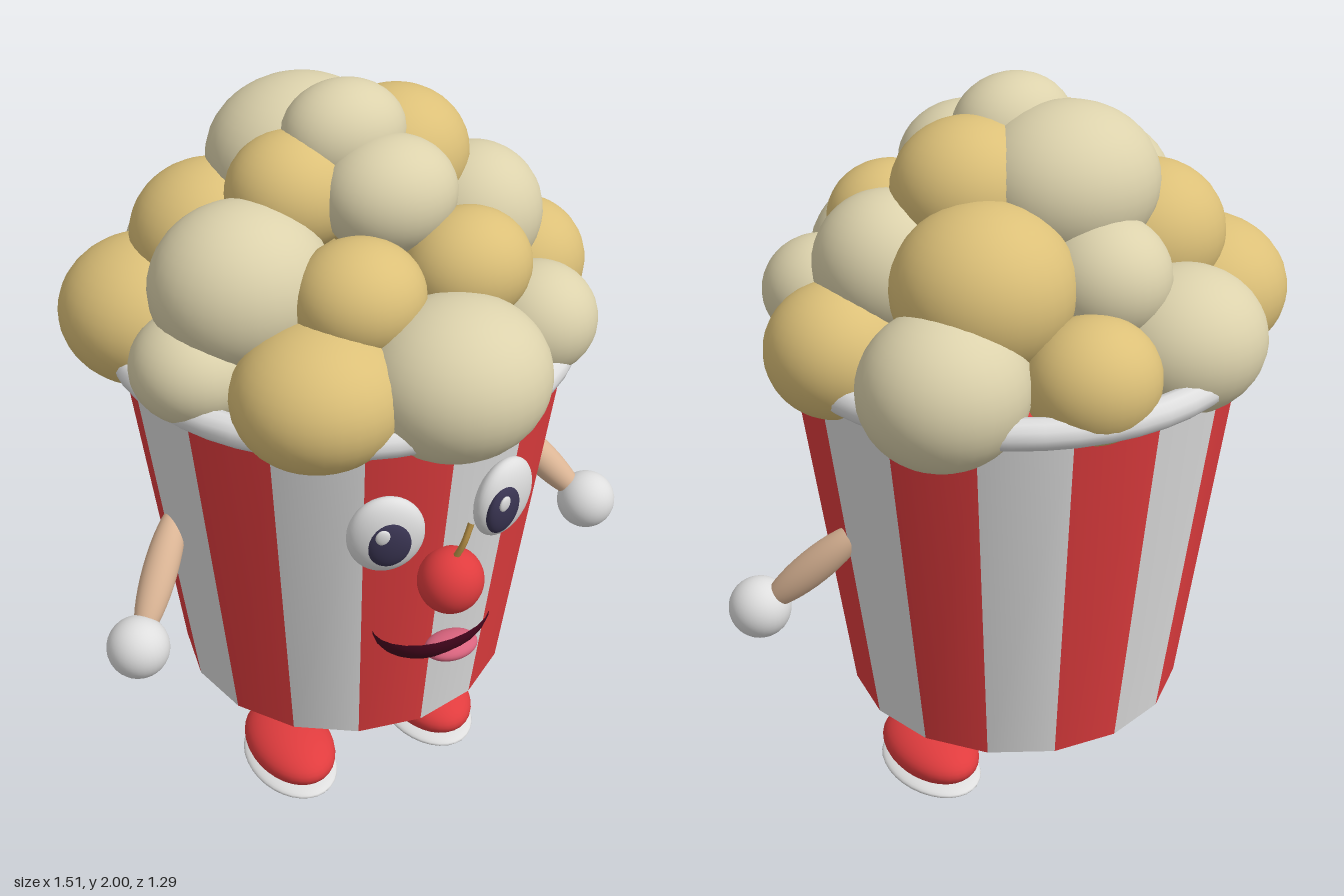
import * as THREE from 'three';

const mat = (name, color) => {
  const m = new THREE.MeshStandardMaterial({ color });
  m.name = name;
  return m;
};

export function createModel() {
  const model = new THREE.Group();
  const red = mat('red', 0xe03c3e);
  const white = mat('white', 0xdedede);
  const cream = mat('cream', 0xdcd2ac);
  const gold = mat('gold', 0xdcc078);
  const indigo = mat('indigo', 0x3a3553);
  const peach = mat('peach', 0xdcb696);
  const maroon = mat('maroon', 0x48061f);
  const pink = mat('pink', 0xd9647e);
  const stemBrown = mat('stemBrown', 0xb58f45);

  const ball = new THREE.SphereGeometry(1, 32, 20);
  const add = (name, geo, material, pos, scale = [1, 1, 1], parent = model) => {
    const m = new THREE.Mesh(geo, material);
    m.name = name;
    m.position.set(...pos);
    m.scale.set(...scale);
    parent.add(m);
    return m;
  };
  // ellipsoid limb stretched between two points
  const limb = (name, material, a, b, r) => {
    const p = new THREE.Vector3(...a), q = new THREE.Vector3(...b);
    const d = q.clone().sub(p);
    const mid = p.add(q).multiplyScalar(0.5);
    const m = add(name, ball, material, mid.toArray(), [r, d.length() / 2, r]);
    m.quaternion.setFromUnitVectors(new THREE.Vector3(0, 1, 0), d.normalize());
  };

  // striped sixteen-sided bucket: one stripe per side
  const sides = 16, cz = -0.04;
  const bucketGeo = new THREE.CylinderGeometry(0.567, 0.44, 0.98, sides, 1);
  bucketGeo.clearGroups();
  for (let i = 0; i < sides; i++) bucketGeo.addGroup(i * 6, 6, i % 2);
  bucketGeo.addGroup(sides * 6, sides * 6, 1);
  add('bucket', bucketGeo, [white, red], [0, 0.85, cz]);

  // rolled rim
  const rimGeo = new THREE.TorusGeometry(0.56, 0.038, 12, 48);
  rimGeo.rotateX(Math.PI / 2);
  add('rim', rimGeo, white, [0, 1.352, cz - 0.005]);

  // popcorn kernels: colour, centre, radii
  const kernels = [
    // bottom ring
    [cream, 0.05, 1.43, 0.43, 0.23, 0.195, 0.215],
    [cream, 0.36, 1.435, 0.29, 0.15, 0.14, 0.15],
    [gold, 0.5, 1.42, -0.01, 0.172, 0.165, 0.17],
    [cream, 0.41, 1.42, -0.33, 0.205, 0.19, 0.195],
    [gold, 0.11, 1.42, -0.49, 0.165, 0.15, 0.155],
    [cream, -0.2, 1.42, -0.44, 0.21, 0.18, 0.2],
    [gold, -0.45, 1.42, -0.22, 0.22, 0.185, 0.22],
    [cream, -0.47, 1.43, 0.1, 0.15, 0.135, 0.15],
    [gold, -0.26, 1.42, 0.34, 0.21, 0.172, 0.2],
    // middle ring
    [cream, -0.33, 1.6, 0.08, 0.22, 0.2, 0.2],
    [gold, -0.12, 1.605, 0.27, 0.16, 0.138, 0.15],
    [gold, 0.18, 1.605, 0.25, 0.16, 0.14, 0.145],
    [cream, 0.345, 1.6, 0, 0.178, 0.175, 0.175],
    [gold, 0.25, 1.6, -0.26, 0.22, 0.2, 0.213],
    [cream, -0.03, 1.59, -0.35, 0.16, 0.15, 0.16],
    [gold, -0.28, 1.6, -0.2, 0.2, 0.18, 0.19],
    // crown
    [cream, -0.045, 1.77, -0.18, 0.232, 0.19, 0.21],
    [gold, 0.16, 1.768, -0.07, 0.187, 0.167, 0.175],
    [gold, -0.15, 1.76, -0.01, 0.16, 0.145, 0.15],
    [cream, 0.04, 1.765, 0.12, 0.168, 0.14, 0.145],
    [cream, -0.005, 1.87, -0.022, 0.156, 0.13, 0.13],
  ];
  const popcorn = new THREE.Group();
  popcorn.name = 'popcorn';
  model.add(popcorn);
  kernels.forEach(([m, x, y, z, rx, ry, rz]) =>
    add('kernel', ball, m, [x, y, z], [rx, ry, rz], popcorn));

  // eyes, both glancing to the model's right
  for (const [s, dx] of [[1, -0.03], [-1, 0.002]]) {
    const eye = new THREE.Group();
    eye.name = s > 0 ? 'leftEye' : 'rightEye';
    eye.position.set(s * 0.162, 1.088, 0.485);
    eye.rotation.set(0.08, s * 0.3, 0, 'YXZ');
    model.add(eye);
    add('eyeball', ball, white, [0, 0, 0], [0.095, 0.11, 0.044], eye);
    add('pupil', ball, indigo, [dx, -0.005, 0.028], [0.056, 0.07, 0.023], eye);
    add('glint', ball, white, [dx - 0.018, 0.028, 0.045], [0.018, 0.022, 0.007], eye);
  }

  // cherry nose with its stem
  add('nose', ball, red, [0, 0.916, 0.522], [0.083, 0.085, 0.08]);
  const stem = new THREE.CatmullRomCurve3([
    new THREE.Vector3(0, 0.98, 0.53),
    new THREE.Vector3(0.018, 1.035, 0.545),
    new THREE.Vector3(0.04, 1.085, 0.54),
  ]);
  add('noseStem', new THREE.TubeGeometry(stem, 8, 0.008, 8), stemBrown, [0, 0, 0]);

  // open mouth: lower half of an ellipsoid, with a tongue
  const mouthGeo = new THREE.SphereGeometry(1, 24, 10, 0, Math.PI * 2, Math.PI / 2, Math.PI / 2);
  add('mouth', mouthGeo, maroon, [0, 0.742, 0.435], [0.162, 0.102, 0.105]);
  add('tongue', ball, pink, [0.03, 0.672, 0.488], [0.072, 0.028, 0.052]);

  // arms, hands, legs and shoes
  for (const s of [1, -1]) {
    limb('arm', peach, [s * 0.465, 0.945, -0.05], [s * 0.665, 0.69, 0.13], 0.045);
    add('hand', ball, white, [s * 0.675, 0.684, 0.14], [0.08, 0.08, 0.08]);
    limb('leg', indigo, [s * 0.22, 0.13, 0], [s * 0.21, 0.41, -0.03], 0.046);
    add('shoe', ball, red, [s * 0.222, 0.088, 0.055], [0.115, 0.07, 0.173]);
    add('sole', ball, white, [s * 0.222, 0.028, 0.055], [0.12, 0.026, 0.177]);
  }

  return model;
}
